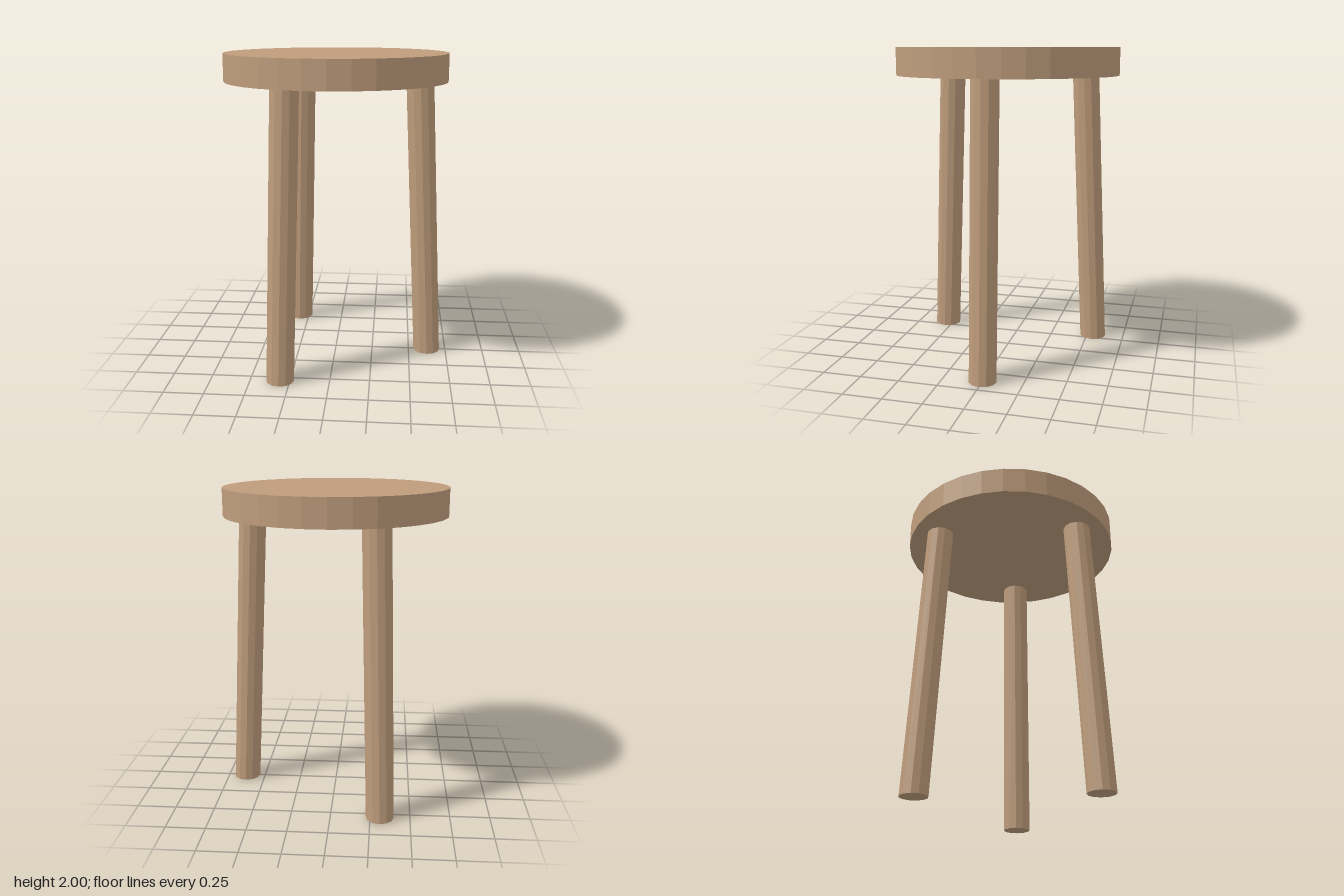
import * as THREE from 'three';

const SEAT_RADIUS = 0.71, SEAT_BOTTOM = 1.825, HEIGHT = 2;
const LEG_RADIUS = 0.0875, FOOT_REACH = 0.622, TOP_REACH = 0.533;

export function createModel() {
  const stool = new THREE.Group();
  stool.name = 'stool';
  const wood = new THREE.MeshStandardMaterial({ color: 0xbf9d7c, flatShading: true });

  // Round seat slab
  const thickness = HEIGHT - SEAT_BOTTOM;
  const seat = new THREE.Mesh(new THREE.CylinderGeometry(SEAT_RADIUS, SEAT_RADIUS, thickness, 32), wood);
  seat.name = 'seat';
  seat.position.y = SEAT_BOTTOM + thickness / 2;
  stool.add(seat);

  // Leg: a cylinder sheared outward towards the floor, so both ends stay level
  const legGeometry = new THREE.CylinderGeometry(LEG_RADIUS, LEG_RADIUS, SEAT_BOTTOM, 12);
  legGeometry.translate(0, SEAT_BOTTOM / 2, 0);
  const p = legGeometry.attributes.position;
  for (let i = 0; i < p.count; i++) {
    p.setX(i, p.getX(i) + THREE.MathUtils.lerp(FOOT_REACH, TOP_REACH, p.getY(i) / SEAT_BOTTOM));
  }
  legGeometry.computeVertexNormals();

  // Three legs evenly spaced, the first one on the left (+x) side
  ['leftLeg', 'backRightLeg', 'frontRightLeg'].forEach((name, i) => {
    const leg = new THREE.Mesh(legGeometry, wood);
    leg.name = name;
    leg.rotation.y = (i * Math.PI * 2) / 3;
    stool.add(leg);
  });

  return stool;
}
